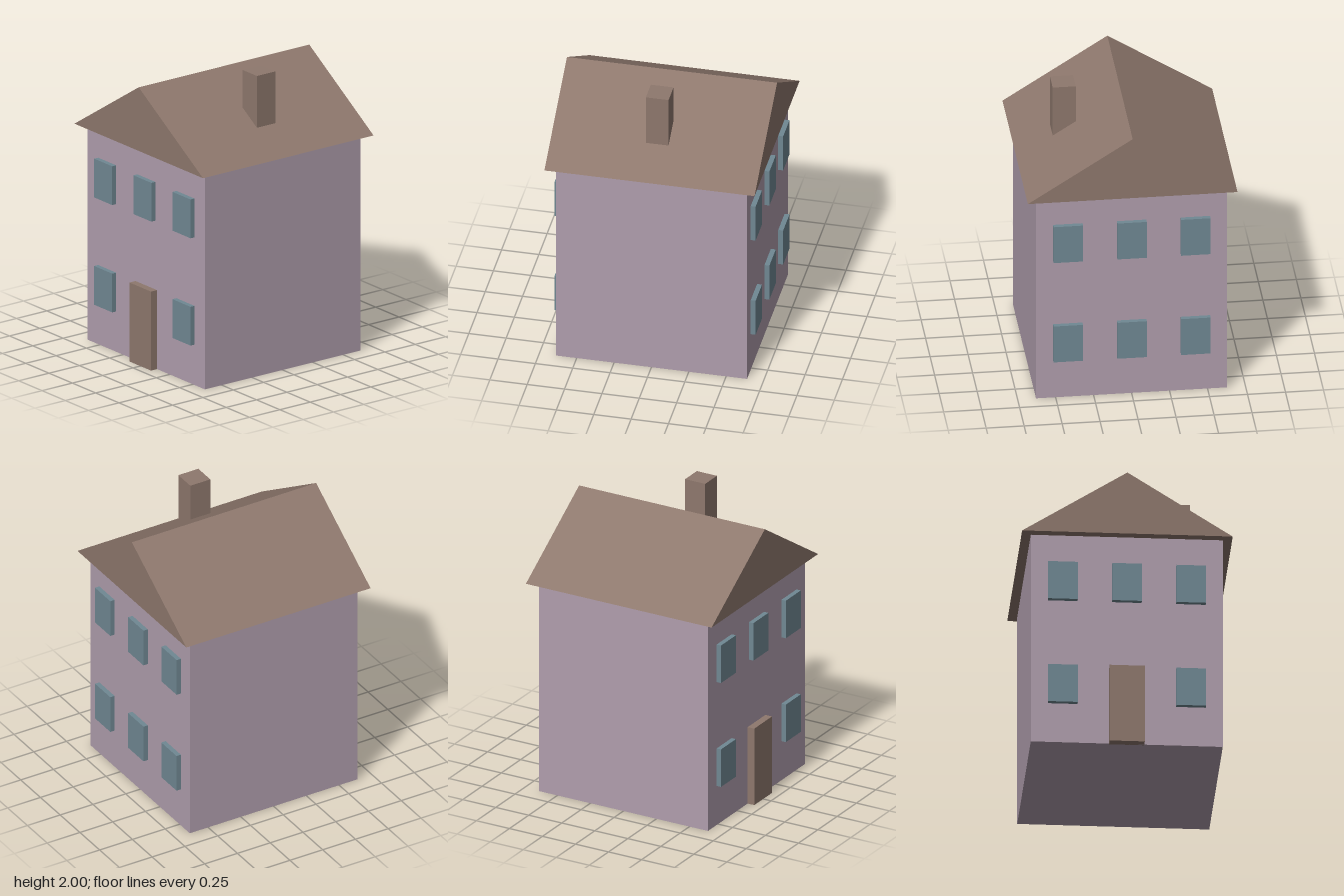
import * as THREE from 'three';

const material = (name, color) => {
  const m = new THREE.MeshStandardMaterial({ color });
  m.name = name;
  return m;
};

export function createModel() {
  const house = new THREE.Group();
  house.name = 'house';
  const wallPaint = material('mauve wall', 0xb09ead);
  const brown = material('brown', 0x8e786d);
  const glass = material('blue grey glass', 0x708893);

  // Box placed by its centre in x and z and by its base in y
  function box(name, mat, w, h, d, x, y, z) {
    const mesh = new THREE.Mesh(new THREE.BoxGeometry(w, h, d), mat);
    mesh.name = name;
    mesh.position.set(x, y + h / 2, z);
    house.add(mesh);
  }

  box('walls', wallPaint, 1.258, 1.49, 1.28, 0, 0, 0);

  // Gabled roof: a triangle extruded along z, overhanging all walls
  const gable = new THREE.Shape([
    new THREE.Vector2(-0.69, 1.49),
    new THREE.Vector2(0.69, 1.49),
    new THREE.Vector2(0, 1.93),
  ]);
  const roofGeometry = new THREE.ExtrudeGeometry(gable, { depth: 1.406, bevelEnabled: false });
  roofGeometry.translate(0, 0, -0.703);
  const roof = new THREE.Mesh(roofGeometry, brown);
  roof.name = 'roof';
  house.add(roof);

  box('chimney', brown, 0.152, 0.42, 0.152, 0.376, 1.58, 0);
  box('door', brown, 0.23, 0.546, 0.06, 0, 0, 0.66);

  // Windows: two storeys of three, with the door in the front centre
  for (const side of [1, -1]) {
    for (const y of [0.279, 1.021]) {
      for (const x of [-0.42, 0, 0.42]) {
        if (side === 1 && y < 1 && x === 0) continue;
        box(side === 1 ? 'frontWindow' : 'backWindow', glass, 0.194, 0.268, 0.06, x, y, side * 0.643);
      }
    }
  }
  return house;
}
